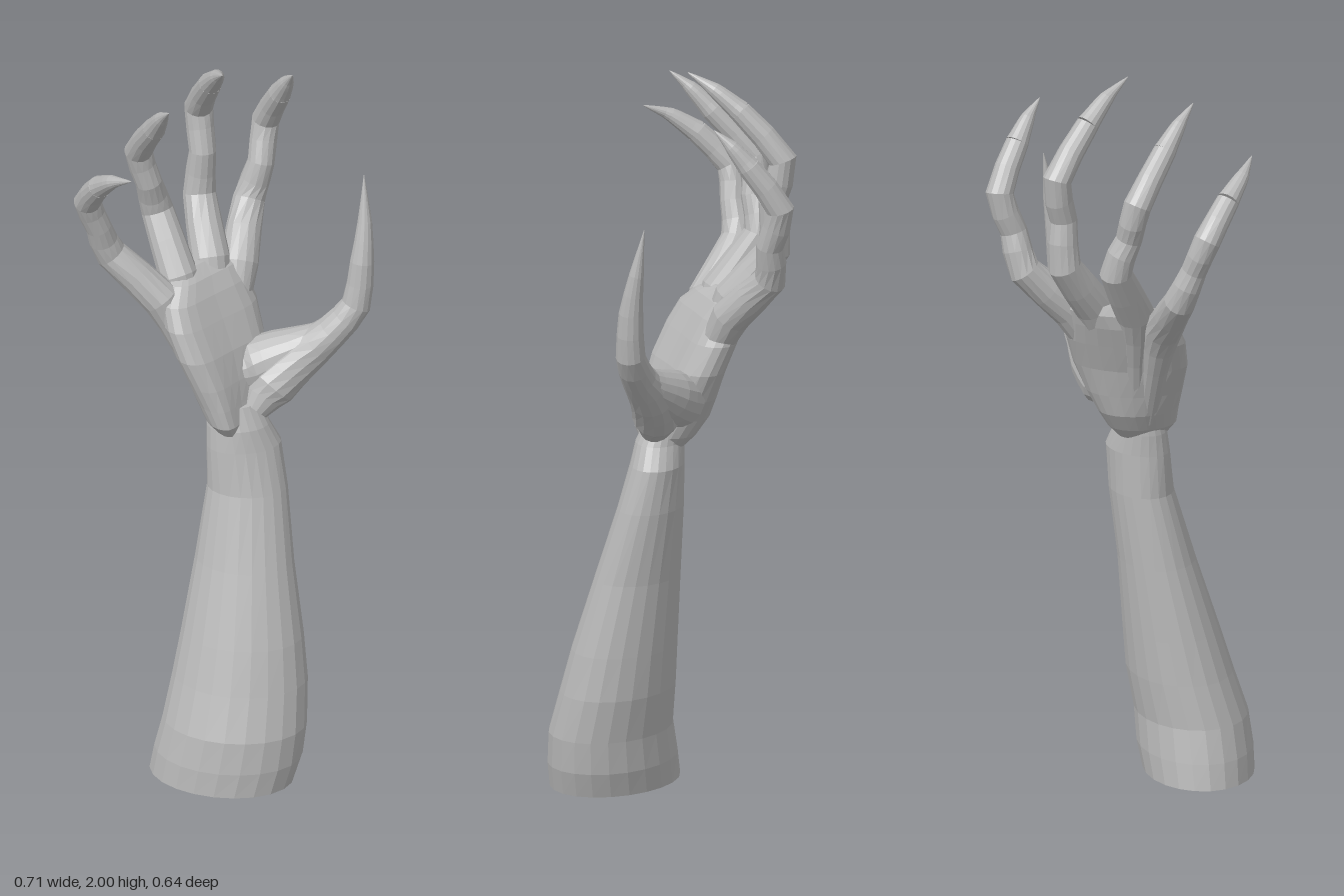
import * as THREE from 'three';

const skin = new THREE.MeshStandardMaterial({ color: 0xb8b8b8, flatShading: true });
skin.name = 'ash grey';

// Skins a list of rings (equal-length arrays of Vector3); the start can stay open.
function loft(rings, openStart = false) {
  const n = rings[0].length, pos = [], idx = [];
  rings.forEach((ring) => ring.forEach((p) => pos.push(p.x, p.y, p.z)));
  for (let i = 0; i < rings.length - 1; i++) {
    for (let j = 0; j < n; j++) {
      const k = (j + 1) % n, a = i * n + j, b = i * n + k, c = a + n, d = b + n;
      idx.push(a, b, d, a, d, c);
    }
  }
  const cap = (i, flip) => {
    const mid = rings[i].reduce((s, p) => s.add(p), new THREE.Vector3()).divideScalar(n);
    const m = pos.length / 3;
    pos.push(mid.x, mid.y, mid.z);
    for (let j = 0; j < n; j++) {
      const a = i * n + j, b = i * n + (j + 1) % n;
      if (flip) idx.push(m, b, a); else idx.push(m, a, b);
    }
  };
  if (!openStart) cap(0, true);
  cap(rings.length - 1, false);
  const g = new THREE.BufferGeometry();
  g.setAttribute('position', new THREE.Float32BufferAttribute(pos, 3));
  g.setIndex(idx);
  g.computeVertexNormals();
  return g;
}

// Round limb along path points [x, y, z, radius], nearly straight between its joints.
function limb(pts, sides = 14, sub = 2) {
  const curve = new THREE.CatmullRomCurve3(
    pts.map((p) => new THREE.Vector3(p[0], p[1], p[2])), false, 'catmullrom', 0.35);
  const total = (pts.length - 1) * sub, rings = [];
  for (let i = 0; i <= total; i++) {
    const t = i / total, s = Math.min(Math.floor(i / sub), pts.length - 2), f = i / sub - s;
    const r = THREE.MathUtils.lerp(pts[s][3], pts[s + 1][3], f);
    const c = curve.getPoint(t), tan = curve.getTangent(t);
    const u = new THREE.Vector3(1, 0, 0).addScaledVector(tan, -tan.x).normalize();
    const v = new THREE.Vector3().crossVectors(tan, u);
    rings.push(Array.from({ length: sides }, (_, j) => {
      const a = j / sides * Math.PI * 2;
      return c.clone().addScaledVector(u, r * Math.cos(a)).addScaledVector(v, r * Math.sin(a));
    }));
  }
  return loft(rings);
}

// Point of a slanted oval: skew > 0 stretches it towards +x +z, keeping its extents.
const oval = (a, rx, rz, skew) => [rx * Math.cos(a), rz * Math.sin(a + skew)];

// Upright body from level sections [x, y, z, halfWidth, halfDepth]; dent hollows the front.
function body(sections, sides, { skew = 0, dent = 0, openStart = false }) {
  return loft(sections.map(([x, y, z, rx, rz]) => Array.from({ length: sides }, (_, j) => {
    const a = -j / sides * Math.PI * 2, front = Math.max(0, Math.sin(a));
    const [dx, dz] = oval(a, rx, rz, skew);
    return new THREE.Vector3(x + dx, y, z + dz - rz * dent * front ** 4);
  })), openStart);
}

export function createModel() {
  const model = new THREE.Group();
  const add = (name, geometry, parent = model) => {
    const mesh = new THREE.Mesh(geometry, skin);
    mesh.name = name;
    parent.add(mesh);
    return mesh;
  };

  // Forearm, widening and leaning forward towards the open base
  const armSkew = 0.26;
  add('forearm', body([
    [-0.12, 0, 0.125, 0.165, 0.185],
    [-0.105, 0.07, 0.135, 0.173, 0.185],
    [-0.09, 0.16, 0.143, 0.17, 0.177],
    [-0.062, 0.28, 0.13, 0.16, 0.165],
    [-0.043, 0.4, 0.116, 0.144, 0.151],
    [-0.014, 0.6, 0.087, 0.116, 0.123],
    [0.018, 0.8, 0.058, 0.098, 0.095],
    [0.02, 0.92, 0.04, 0.097, 0.078],
    [0.008, 0.98, 0.03, 0.08, 0.07],
    [0.005, 1.04, 0.015, 0.065, 0.055],
  ], 22, { skew: armSkew, openStart: true }));

  // Base plate with a ring of notches
  const onPlate = (a, r) => new THREE.Vector2(...oval(a, 0.165 * r, 0.185 * r, armSkew));
  const plate = new THREE.Shape(
    Array.from({ length: 22 }, (_, j) => onPlate(j / 22 * Math.PI * 2, 1)));
  const slots = 18;
  for (let i = 0; i < slots; i++) {
    const a = i / slots * Math.PI * 2, b = (i + 0.45) / slots * Math.PI * 2;
    plate.holes.push(new THREE.Path(
      [onPlate(a, 0.7), onPlate(b, 0.7), onPlate(b, 0.86), onPlate(a, 0.86)]));
  }
  const base = add('basePlate', new THREE.ShapeGeometry(plate));
  base.rotation.x = Math.PI / 2;
  base.position.set(-0.12, 0.001, 0.125);

  // Palm, leaning backward with a hollow front and its outer edge turned forward
  add('palm', body([
    [0.0, 0.968, 0.025, 0.06, 0.06],
    [-0.002, 1.0, 0.018, 0.084, 0.084],
    [0.0, 1.05, -0.003, 0.1, 0.096],
    [0.005, 1.11, -0.02, 0.125, 0.096],
    [0.005, 1.19, -0.045, 0.152, 0.092],
    [0.002, 1.27, -0.082, 0.16, 0.087],
    [0.0, 1.33, -0.112, 0.148, 0.081],
    [0.015, 1.37, -0.137, 0.122, 0.068],
    [0.02, 1.395, -0.157, 0.085, 0.042],
  ], 24, { skew: -0.28, dent: 0.35 }));

  // Web joining the thumb to the side of the palm
  add('thumbWeb', limb([
    [0.04, 1.1, -0.025, 0.055], [0.09, 1.115, 0.0, 0.078],
    [0.145, 1.145, 0.042, 0.069], [0.205, 1.19, 0.102, 0.05], [0.25, 1.235, 0.145, 0.03]], 16));

  // Thumb, tapering to its claw
  add('thumb', limb([
    [0.045, 1.015, 0.055, 0.037], [0.1, 1.075, 0.06, 0.066], [0.175, 1.15, 0.09, 0.061],
    [0.24, 1.225, 0.14, 0.047], [0.295, 1.305, 0.175, 0.04], [0.313, 1.43, 0.178, 0.033],
    [0.33, 1.54, 0.167, 0.02], [0.342, 1.67, 0.148, 0.001]]));

  // Each finger runs from the wrist through its knuckles; the last three points shape the claw
  const fingers = {
    littleFinger: [
      [-0.035, 1.03, -0.025, 0.03], [-0.085, 1.2, -0.085, 0.037], [-0.128, 1.33, -0.13, 0.052],
      [-0.22, 1.455, -0.23, 0.043], [-0.262, 1.55, -0.23, 0.035], [-0.3, 1.64, -0.23, 0.037],
      [-0.324, 1.73, -0.145, 0.031], [-0.335, 1.778, -0.075, 0.019], [-0.33, 1.81, 0, 0.001]],
    ringFinger: [
      [-0.01, 1.03, -0.04, 0.03], [-0.035, 1.22, -0.1, 0.037], [-0.055, 1.37, -0.15, 0.053],
      [-0.045, 1.52, -0.255, 0.044], [-0.08, 1.62, -0.247, 0.036], [-0.108, 1.72, -0.256, 0.038],
      [-0.14, 1.845, -0.145, 0.031], [-0.158, 1.905, -0.09, 0.019], [-0.175, 1.95, -0.037, 0.001]],
    middleFinger: [
      [0.015, 1.03, -0.04, 0.03], [0.035, 1.22, -0.1, 0.037], [0.06, 1.38, -0.16, 0.054],
      [0.102, 1.52, -0.262, 0.045], [0.108, 1.65, -0.255, 0.037], [0.115, 1.77, -0.282, 0.039],
      [0.072, 1.9, -0.175, 0.031], [0.045, 1.957, -0.11, 0.02], [0.012, 2.0, -0.045, 0.001]],
    indexFinger: [
      [0.04, 1.03, -0.035, 0.03], [0.08, 1.2, -0.085, 0.037], [0.138, 1.35, -0.135, 0.053],
      [0.237, 1.475, -0.22, 0.044], [0.272, 1.58, -0.212, 0.037], [0.304, 1.69, -0.233, 0.038],
      [0.288, 1.81, -0.15, 0.031], [0.277, 1.866, -0.105, 0.019], [0.262, 1.91, -0.062, 0.001]],
  };
  for (const [name, pts] of Object.entries(fingers)) {
    const finger = new THREE.Group();
    finger.name = name;
    add(name + 'Flesh', limb(pts.slice(0, -2)), finger);
    add(name + 'Claw', limb(pts.slice(-3), 14, 4), finger);
    model.add(finger);
  }
  return model;
}
